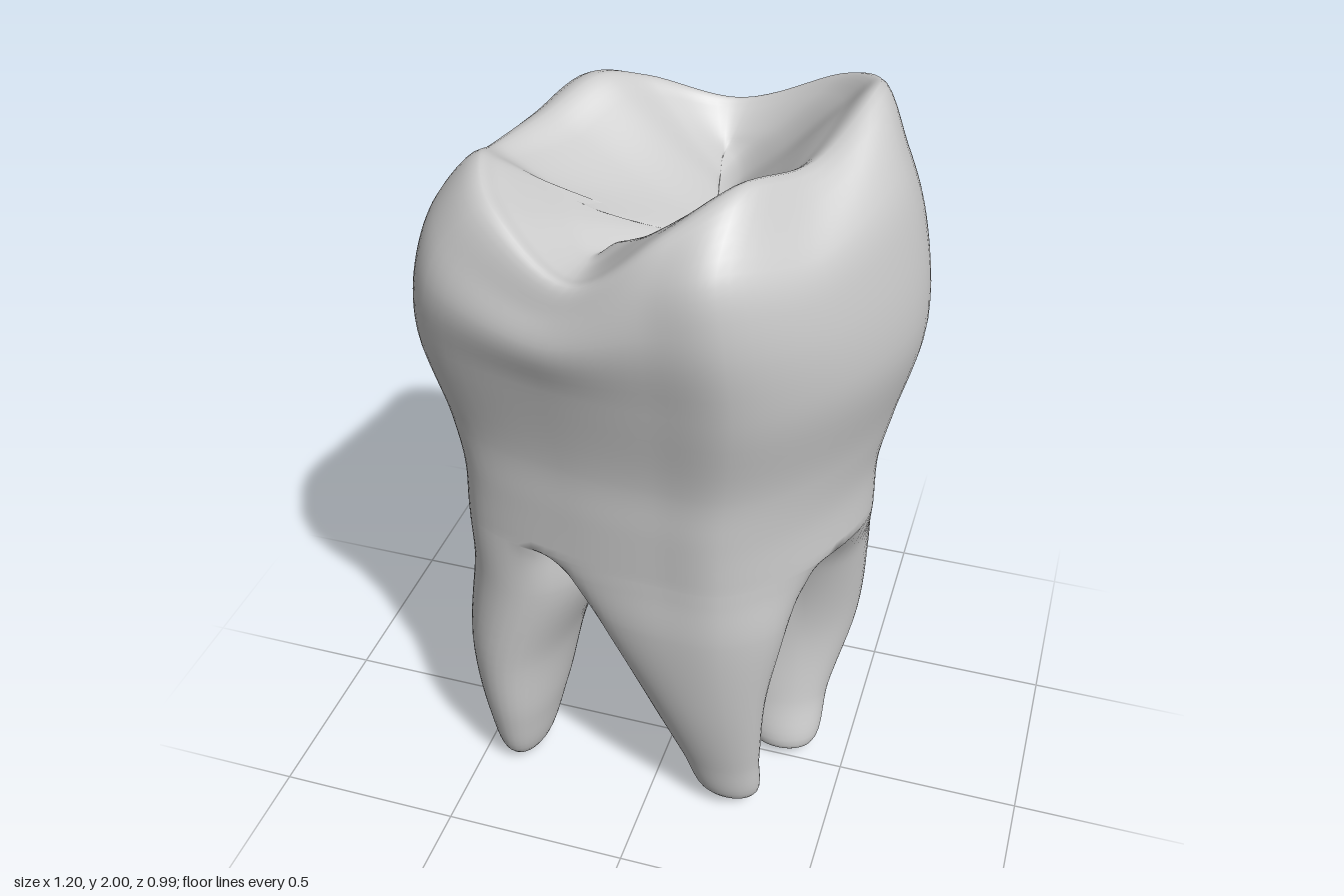
import * as THREE from 'three';
import { mergeVertices } from 'three/addons/utils/BufferGeometryUtils.js';

const V = (x, y, z) => new THREE.Vector3(x, y, z);
const mix = THREE.MathUtils.lerp;
const STEPS = 8; // samples per outline control point

// widest outline of the crown [x, z], counterclockwise from above
const OUTLINE = [
  [0.6, -0.08], [0.548, -0.315], [0.42, -0.44], [0.05, -0.5], [-0.22, -0.475], [-0.44, -0.415], [-0.525, -0.2],
  [-0.58, 0.03], [-0.59, 0.19], [-0.5, 0.355], [-0.18, 0.46], [0.08, 0.485], [0.27, 0.475], [0.475, 0.265],
];
// rim of cusps [x, y, z], and the bent valley its inner slopes run down to, in the same order
const CREST = [
  [0.42, 2.0, -0.15], [0.4, 1.97, -0.31], [0.3, 1.92, -0.42], [0.04, 1.82, -0.43], [-0.18, 1.88, -0.36],
  [-0.28, 1.91, -0.27], [-0.37, 1.86, -0.12], [-0.43, 1.84, 0.03], [-0.41, 1.88, 0.17], [-0.33, 1.84, 0.32],
  [-0.11, 1.73, 0.42], [0.1, 1.88, 0.41], [0.23, 1.96, 0.30], [0.34, 1.92, 0.06],
];
const VALLEY = [
  [0.09, 1.69, -0.14], [0.09, 1.7, -0.23], [0.06, 1.71, -0.31], [0.03, 1.72, -0.33], [0.04, 1.7, -0.25],
  [0.06, 1.69, -0.15], [0.05, 1.69, -0.02], [-0.16, 1.76, 0.12], [-0.24, 1.79, 0.1], [-0.17, 1.76, 0.18],
  [-0.11, 1.72, 0.25], [-0.07, 1.73, 0.2], [0.01, 1.7, 0.11], [0.08, 1.69, 0.01],
];
const COUNT = OUTLINE.length;
const NECK_Y = 0.9;

const closedCurve = (points) => new THREE.CatmullRomCurve3(points.map((p) => V(...p)), true);
const outlineCurve = closedCurve(OUTLINE.map(([x, z]) => [x, 0, z]));
const crestCurve = closedCurve(CREST);
const valleyCurve = closedCurve(VALLEY);
const at = (curve, u) => curve.getPoint((u / COUNT) % 1);

// outline scaled to one level of the crown
function ring(u, y, sx, sz, dz) {
  const p = at(outlineCurve, u);
  return V(p.x * sx - 0.005, y, p.z * sz + dz);
}
const neck = (u) => ring(u, NECK_Y, 0.86, 0.75, 0.015);

// closed skin over columns of points that run from bottom to top (or on into the basin)
function skin(columns, rows) {
  const position = [], index = [], n = columns.length;
  for (const column of columns) {
    const curve = new THREE.CatmullRomCurve3(column);
    for (let j = 0; j <= rows; j++) position.push(...curve.getPoint(j / rows).toArray());
  }
  for (let i = 0; i < n; i++) {
    for (let j = 0; j < rows; j++) {
      const a = i * (rows + 1) + j, b = ((i + 1) % n) * (rows + 1) + j;
      index.push(a, b, b + 1, a, b + 1, a + 1);
    }
  }
  let geometry = new THREE.BufferGeometry();
  geometry.setAttribute('position', new THREE.Float32BufferAttribute(position, 3));
  geometry.setIndex(index);
  geometry = mergeVertices(geometry, 1e-5);
  geometry.computeVertexNormals();
  return geometry;
}

// shares normals where parts meet, so that the roots flow into the neck
function smoothSeams(geometries) {
  const sums = new Map();
  const visit = (action) => geometries.forEach(({ attributes: { position, normal } }) => {
    for (let i = 0; i < position.count; i++) {
      const p = V().fromBufferAttribute(position, i);
      if (Math.abs(p.y - NECK_Y) > 1e-4) continue;
      action(p.toArray().map((c) => Math.round(c * 1e4)).join(), normal, i);
    }
  });
  visit((key, normal, i) => {
    if (!sums.has(key)) sums.set(key, V(0, 0, 0));
    sums.get(key).add(V().fromBufferAttribute(normal, i));
  });
  visit((key, normal, i) => normal.setXYZ(i, ...sums.get(key).clone().normalize().toArray()));
}

// trunk, bulging crown, rim of cusps and the basin inside it
function crownGeometry() {
  const columns = [];
  for (let i = 0; i < COUNT * STEPS; i++) {
    const u = i / STEPS;
    const crest = at(crestCurve, u), valley = at(valleyCurve, u);
    const high = (f) => mix(1.45, crest.y, f);
    const slope = (f, drop) => {
      const p = crest.clone().lerp(valley, f);
      p.y = mix(crest.y, valley.y, drop);
      return p;
    };
    columns.push([
      neck(u),
      ring(u, 1.05, 0.86, 0.785, 0.005),
      ring(u, 1.2, 0.91, 0.83, -0.01),
      ring(u, 1.45, 1, 0.93, -0.005),
      ring(u, high(0.45), 0.95, 1, 0),
      ring(u, high(0.75), 0.86, 0.955, 0),
      crest,
      slope(0.25, 0.22),
      slope(0.65, 0.66),
      valley,
      V(0.03, 1.69, 0.05),
    ]);
  }
  return skin(columns, 60);
}

// a root grows out of one sector of the neck and turns into ellipses [y, x, z, rx, rz] towards its tip
function rootGeometry({ from, to, sections, tip }) {
  const fork = V(0.03, NECK_Y, 0.02);
  const loop = [];
  const outer = Math.round((to - from) * STEPS), inner = 10;
  for (let i = 0; i <= outer; i++) {
    loop.push({ p: neck(from + i / STEPS), edge: Math.abs((2 * i) / outer - 1) });
  }
  for (const [a, b, last] of [[neck(to), fork, inner], [fork, neck(from), inner - 1]]) {
    for (let i = 1; i <= last; i++) loop.push({ p: a.clone().lerp(b, i / inner), edge: 1 });
  }
  const centre = V(0, 0, 0);
  loop.forEach(({ p }) => centre.addScaledVector(p, 1 / loop.length));

  const columns = loop.map(({ p, edge }) => {
    const angle = Math.atan2(p.z - centre.z, p.x - centre.x);
    const ellipse = ([y, x, z, rx, rz]) => {
      const k = 1 / Math.hypot(Math.cos(angle) / rx, Math.sin(angle) / rz);
      return V(x + k * Math.cos(angle), y, z + k * Math.sin(angle));
    };
    const e = sections.map(ellipse);
    const blend = (y, w) => {
      const q = p.clone().lerp(e[0], w);
      q.y = y;
      return q;
    };
    return [
      V(...tip),
      ...e.slice(1).reverse(),
      blend(sections[0][0], mix(0.5, 0.97, edge ** 4)),
      blend(0.85, mix(0.1, 0.55, edge ** 10)),
      p,
    ];
  });
  return skin(columns, 42);
}

const ROOTS = [
  {
    name: 'rightRoot', from: 4.25, to: 9.625, tip: [-0.4, 0, 0.155],
    sections: [[0.72, -0.33, 0.02, 0.2, 0.31], [0.45, -0.395, 0.065, 0.15, 0.26],
      [0.2, -0.4, 0.115, 0.105, 0.185], [0.03, -0.4, 0.15, 0.055, 0.095]],
  },
  {
    name: 'frontLeftRoot', from: 9.625, to: 13.375, tip: [0.225, 0.03, 0.2],
    sections: [[0.72, 0.12, 0.255, 0.24, 0.13], [0.45, 0.155, 0.25, 0.17, 0.1],
      [0.2, 0.2, 0.225, 0.11, 0.068], [0.05, 0.225, 0.205, 0.075, 0.045]],
  },
  {
    name: 'backLeftRoot', from: 13.375, to: 18.25, tip: [0.325, 0.02, -0.04],
    sections: [[0.72, 0.18, -0.17, 0.32, 0.19], [0.45, 0.22, -0.18, 0.26, 0.16],
      [0.2, 0.27, -0.115, 0.155, 0.11], [0.04, 0.315, -0.05, 0.09, 0.065]],
  },
];

export function createModel() {
  const group = new THREE.Group();
  group.name = 'molar';
  const material = new THREE.MeshStandardMaterial({ color: 0xcccccc });
  const parts = [['crown', crownGeometry()], ...ROOTS.map((root) => [root.name, rootGeometry(root)])];
  smoothSeams(parts.map(([, geometry]) => geometry));
  for (const [name, geometry] of parts) {
    const mesh = new THREE.Mesh(geometry, material);
    mesh.name = name;
    group.add(mesh);
  }
  return group;
}
